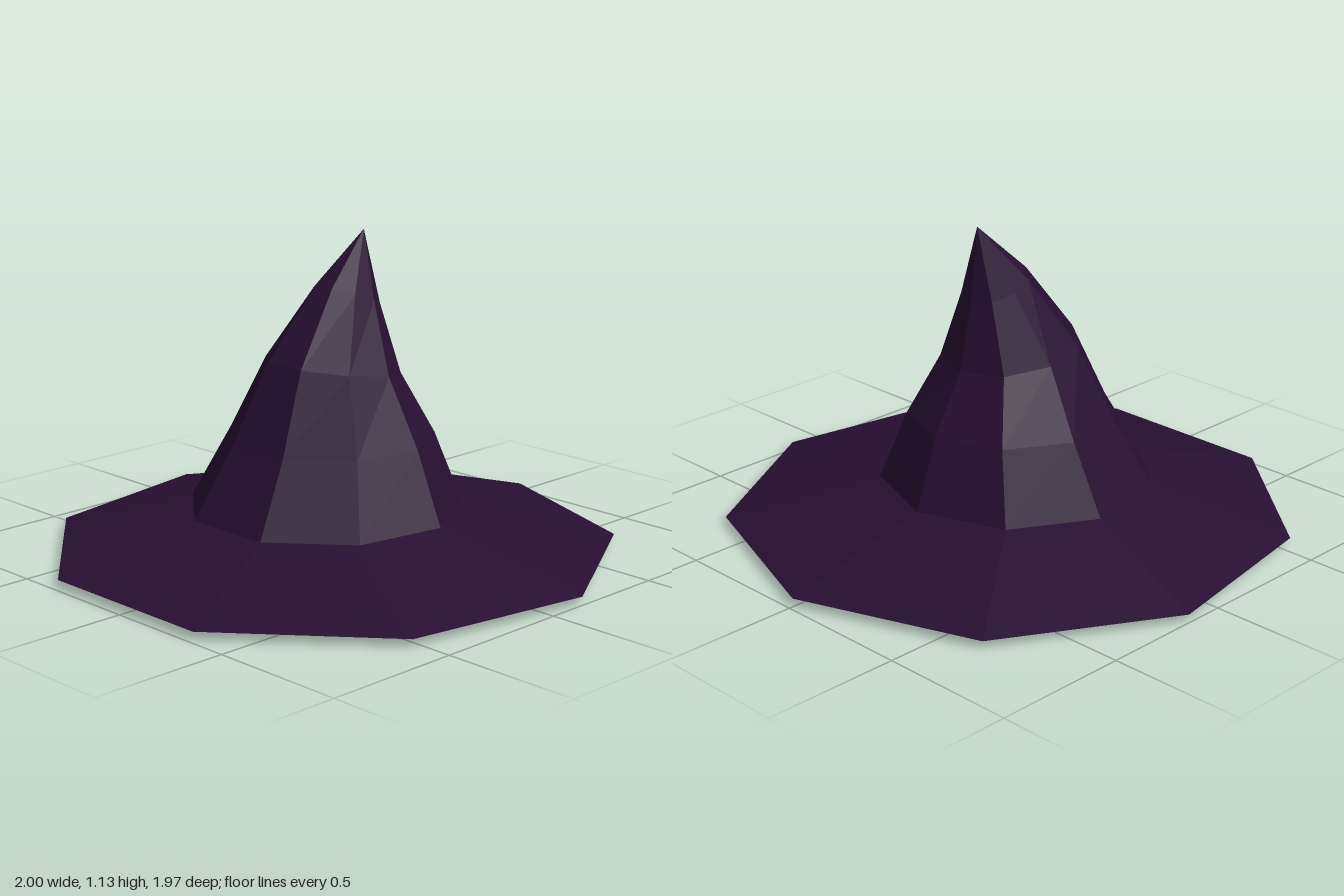
import * as THREE from 'three';

const SIDES = 9;

// One nine-sided ring: radius, height, centre, and how much its front edge is raised
const ring = (r, y, cx, cz, tilt = 0) => {
  const points = [];
  for (let i = 0; i < SIDES; i++) {
    const a = (i / SIDES) * Math.PI * 2;
    points.push([cx + r * Math.sin(a), y - tilt * Math.cos(a), cz - r * Math.cos(a)]);
  }
  return points;
};

// Faceted skin through successive rings
function skin(name, rings, material) {
  const pos = [];
  for (let j = 0; j < rings.length - 1; j++) {
    for (let i = 0; i < SIDES; i++) {
      const k = (i + 1) % SIDES;
      const a = rings[j][i], b = rings[j][k], c = rings[j + 1][i], d = rings[j + 1][k];
      pos.push(...a, ...c, ...b, ...b, ...c, ...d);
    }
  }
  const geometry = new THREE.BufferGeometry();
  geometry.setAttribute('position', new THREE.Float32BufferAttribute(pos, 3));
  geometry.computeVertexNormals();
  const mesh = new THREE.Mesh(geometry, material);
  mesh.name = name;
  return mesh;
}

export function createModel() {
  const felt = new THREE.MeshStandardMaterial({ color: 0x270f32, flatShading: true });
  felt.name = 'dark purple felt';

  const hole = ring(0.34, 0.12, -0.005, 0.035);
  const lowerRim = ring(0.92, 0, 0, 0.03);
  const rim = ring(1.015, 0.03, 0, 0.03);
  const crownBase = ring(0.49, 0.17, -0.02, 0.05);

  const hat = new THREE.Group();
  hat.name = 'pointedHat';
  hat.add(
    // Sloping brim with a bevelled underside
    skin('brimTop', [rim, crownBase], felt),
    skin('brimUnderside', [hole, lowerRim, rim], felt),
    // Crown bending back to its tip
    skin('crown', [
      crownBase,
      ring(0.369, 0.42, -0.02, 0.02),
      ring(0.242, 0.665, -0.02, 0.012, 0.037),
      ring(0.117, 0.91, -0.02, -0.06, 0.042),
      ring(0, 1.13, -0.02, -0.145),
    ], felt),
    // Hollow inside, running from its tip down to the head opening
    skin('lining', [
      ring(0, 0.98, -0.02, -0.09),
      ring(0.15, 0.65, -0.02, 0.01, 0.02),
      ring(0.27, 0.4, -0.015, 0.02),
      hole,
    ], felt),
  );
  return hat;
}
